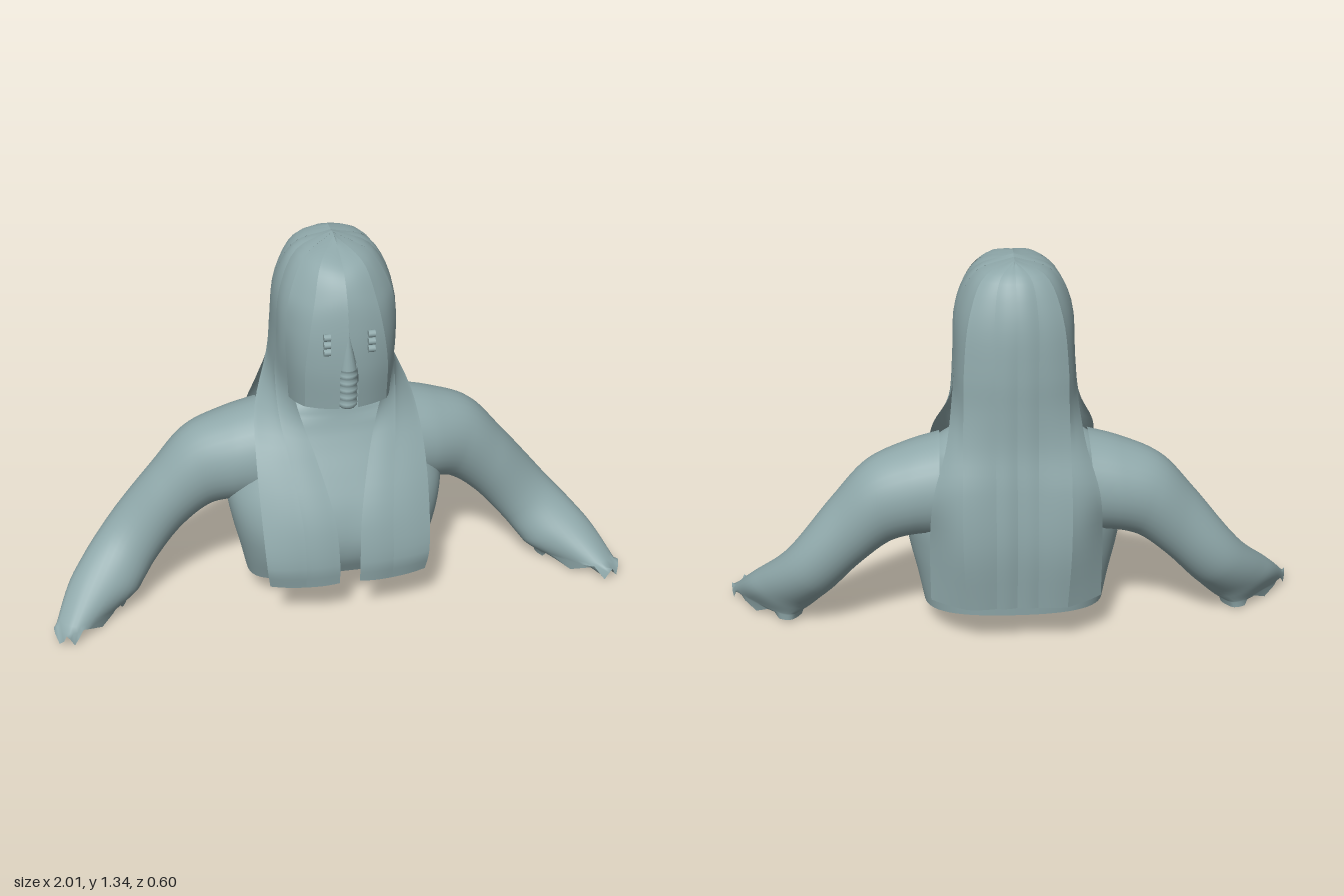
import * as THREE from 'three';

const V = (p) => new THREE.Vector3(...p);

// Surface through rows of points; closed joins the last column to the first
function loft(rows, closed) {
  const n = rows[0].length, pos = [], idx = [];
  rows.forEach((r) => r.forEach((p) => pos.push(p.x, p.y, p.z)));
  for (let i = 0; i < rows.length - 1; i++) {
    for (let j = 0; j < (closed ? n : n - 1); j++) {
      const k = (j + 1) % n, a = i * n + j, b = i * n + k, c = a + n, d = b + n;
      idx.push(a, c, b, b, c, d);
    }
  }
  const g = new THREE.BufferGeometry();
  g.setAttribute('position', new THREE.Float32BufferAttribute(pos, 3));
  g.setIndex(idx);
  g.computeVertexNormals();
  return g;
}

const spline = (pts) => new THREE.CatmullRomCurve3(pts.map(V), false, 'centripetal');
const power = (v, e) => Math.sign(v) * Math.abs(v) ** e;

// Torso levels: y, half width, front z, back z
const TORSO = [
  [0.13, 0.312, 0.21, -0.21], [0.22, 0.335, 0.243, -0.217], [0.32, 0.362, 0.25, -0.22],
  [0.42, 0.375, 0.225, -0.22], [0.52, 0.36, 0.175, -0.215], [0.6, 0.34, 0.13, -0.208],
  [0.66, 0.31, 0.1, -0.195], [0.72, 0.25, 0.08, -0.175], [0.77, 0.14, 0.072, -0.14],
  [0.85, 0.092, 0.07, -0.1], [0.95, 0.085, 0.07, -0.09],
];

function torsoGeometry() {
  const width = spline(TORSO.map((t) => [t[1], t[0], 0]));
  const depth = spline(TORSO.map((t) => [t[2], t[0], t[3]]));
  const rows = [];
  for (let i = 0; i <= 40; i++) {
    const w = width.getPoint(i / 40), d = depth.getPoint(i / 40), row = [];
    const mid = (d.x + d.z) / 2, half = (d.x - d.z) / 2;
    const e = w.y < 0.7 ? 0.88 : 1;
    const hem = Math.max(0, 1 - i / 8);
    for (let j = 0; j < 64; j++) {
      const a = j / 64 * Math.PI * 2, c = Math.cos(a), s = Math.sin(a);
      const x = w.x * power(c, e);
      let z = mid + half * power(s, e);
      // Bust swelling
      if (s > 0) z += 0.025 * s * Math.exp(-(((Math.abs(x) - 0.16) / 0.09) ** 2) - ((w.y - 0.3) / 0.12) ** 2);
      // Wavy open hem: low at the sides, raised in front
      const y = w.y + hem * (s > 0 ? -0.045 + 0.075 * s * s : -0.045 + 0.025 * s * s);
      row.push(new THREE.Vector3(x, y, z));
    }
    rows.push(row);
  }
  return loft(rows, true);
}

// Arm sections: centre and two half axes
const ARM = [
  [[0.26, 0.545, -0.045], [-0.01, 0.177, 0], [0, 0, 0.168]],
  [[0.35, 0.53, -0.05], [0.01, 0.162, 0], [0, 0, 0.157]],
  [[0.46, 0.49, -0.06], [0.04, 0.142, 0], [0, 0, 0.132]],
  [[0.57, 0.385, -0.06], [0.05, 0.115, 0], [0, 0, 0.112]],
  [[0.705, 0.225, -0.045], [0.075, 0.075, 0], [-0.02, 0, 0.1]],
  [[0.805, 0.115, 0.03], [0.1, 0.045, 0.045], [-0.05, 0, 0.08]],
  [[0.875, 0.03, 0.105], [0.116, 0, 0.115], [-0.035, 0, 0.05]],
];

function armRows(side) {
  const [C, A, B] = [0, 1, 2].map((k) => spline(ARM.map((r) => r[k])));
  const rows = [], N = 48, M = 32;
  for (let i = 0; i <= N; i++) {
    const u = i / N, c = C.getPoint(u), a = A.getPoint(u), b = B.getPoint(u), row = [];
    // Sections flatten into a blockier cuff near the wrist
    const e = 1 - 0.4 * Math.max(0, (u - 0.8) / 0.2);
    for (let j = 0; j < M; j++) {
      const t = j / M * Math.PI * 2;
      const p = c.clone().addScaledVector(a, power(Math.cos(t), e)).addScaledVector(b, power(Math.sin(t), e));
      // Ragged outer wrist edge, smooth on the inner side
      if (i === N) p.y = Math.cos(t) < -0.5 ? 0.014 : j % 4 < 2 ? 0.005 + 0.02 * (j % 2) : 0.05 - 0.015 * (j % 2);
      p.x *= side;
      row.push(p);
    }
    rows.push(side < 0 ? row.reverse() : row);
  }
  return rows;
}

// Hair guide curves for one half, from the parting to the tips
const bang0 = [[0, 1.345, 0.03], [0, 1.29, 0.17], [0, 1.22, 0.225], [0.001, 1.11, 0.255], [0.028, 0.98, 0.262], [0.03, 0.84, 0.255]];
const bang1 = [[0, 1.345, 0.01], [0.07, 1.3, 0.14], [0.1, 1.2, 0.2], [0.12, 1.1, 0.222], [0.135, 0.98, 0.222], [0.135, 0.835, 0.208]];
const bang2 = [[0, 1.345, -0.01], [0.11, 1.3, 0.07], [0.165, 1.2, 0.12], [0.18, 1.1, 0.13], [0.18, 0.98, 0.125], [0.17, 0.815, 0.1]];
const front0 = [[0, 1.345, -0.01], [0.11, 1.3, 0.07], [0.165, 1.18, 0.115], [0.18, 1, 0.115], [0.155, 0.83, 0.1],
  [0.125, 0.71, 0.11], [0.09, 0.6, 0.165], [0.045, 0.41, 0.265], [0.035, 0.25, 0.297], [0.035, 0.17, 0.29]];
const front1 = [[0, 1.345, -0.02], [0.12, 1.3, 0], [0.185, 1.18, 0.04], [0.198, 1, 0.04], [0.203, 0.87, 0.03],
  [0.2, 0.74, 0.075], [0.18, 0.6, 0.16], [0.155, 0.41, 0.262], [0.15, 0.25, 0.297], [0.15, 0.165, 0.285]];
const front2 = [[0, 1.34, -0.04], [0.12, 1.3, -0.05], [0.185, 1.18, -0.06], [0.198, 1, -0.09], [0.211, 0.89, -0.09],
  [0.27, 0.74, 0.01], [0.287, 0.6, 0.13], [0.287, 0.41, 0.23], [0.28, 0.25, 0.275], [0.27, 0.17, 0.262]];
const back0 = [[0, 1.34, -0.04], [0.12, 1.3, -0.05], [0.185, 1.18, -0.06], [0.198, 1, -0.09], [0.207, 0.89, -0.1],
  [0.23, 0.74, -0.19], [0.275, 0.58, -0.235], [0.29, 0.4, -0.2], [0.29, 0.17, -0.19]];
const back1 = [[0, 1.34, -0.06], [0.1, 1.3, -0.12], [0.15, 1.18, -0.17], [0.17, 1, -0.195], [0.173, 0.87, -0.205],
  [0.177, 0.74, -0.23], [0.18, 0.6, -0.275], [0.18, 0.4, -0.295], [0.17, 0.17, -0.27]];
const back2 = [[0, 1.34, -0.08], [0.05, 1.3, -0.15], [0.07, 1.18, -0.205], [0.07, 1, -0.232], [0.07, 0.87, -0.236],
  [0.07, 0.74, -0.245], [0.07, 0.6, -0.272], [0.07, 0.4, -0.29], [0.07, 0.17, -0.268]];
const back3 = [[0, 1.34, -0.08], [0, 1.3, -0.16], [0, 1.18, -0.22], [0, 1, -0.24], [0, 0.87, -0.242],
  [0, 0.74, -0.248], [0, 0.6, -0.27], [0, 0.4, -0.285], [0, 0.17, -0.265]];
const STRANDS = [
  ['InnerFringe', bang0, bang1], ['OuterFringe', bang1, bang2],
  ['InnerFrontLock', front0, front1], ['OuterFrontLock', front1, front2],
  ['SideBackLock', back0, back1], ['MiddleBackLock', back1, back2], ['CentreBackLock', back2, back3],
];

// Thin lock of hair between two guides, bulging slightly outward
function strandGeometry(a, b, side) {
  const ca = spline(a), cb = spline(b), rows = [];
  for (let i = 0; i <= 36; i++) {
    const p = ca.getPoint(i / 36), q = cb.getPoint(i / 36), row = [];
    for (let j = 0; j <= 6; j++) {
      const r = p.clone().lerp(q, j / 6);
      const out = new THREE.Vector3(r.x, 0, r.z);
      if (out.length() > 0.05) r.addScaledVector(out.normalize(), 0.005 * Math.sin(j / 6 * Math.PI));
      r.x *= side;
      row.push(r);
    }
    rows.push(row);
  }
  return loft(rows, false);
}

export function createModel() {
  const model = new THREE.Group();
  model.name = 'longHairedBust';
  const clay = new THREE.MeshStandardMaterial({ color: 0x8fa8aa, side: THREE.DoubleSide });
  clay.name = 'greyTeal';
  const add = (name, geometry) => {
    const m = new THREE.Mesh(geometry, clay);
    m.name = name;
    model.add(m);
    return m;
  };

  add('torso', torsoGeometry());
  const head = add('head', new THREE.SphereGeometry(1, 40, 28));
  head.scale.set(0.15, 0.25, 0.19);
  head.position.set(0, 1.06, 0.04);

  // Nose and ridged mouth column
  const nose = add('nose', new THREE.ConeGeometry(0.027, 0.15, 16));
  nose.position.set(0, 1.06, 0.245);
  const ridges = [[0, 0.835]];
  for (let i = 0; i < 6; i++) {
    const y = 0.84 + i * 0.026;
    ridges.push([0.026, y], [0.032, y + 0.008], [0.032, y + 0.018]);
  }
  ridges.push([0, 1.0]);
  const mouth = add('mouth', new THREE.LatheGeometry(ridges.map((p) => new THREE.Vector2(...p)), 20));
  mouth.position.z = 0.234;

  for (const side of [1, -1]) {
    const prefix = side > 0 ? 'left' : 'right';
    const rows = armRows(side);
    add(prefix + 'Arm', loft(rows, true));
    // Flat end closing the wrist just inside the ragged edge
    const centre = new THREE.Vector3(side * 0.872, 0.045, 0.1);
    const rim = rows[rows.length - 2].map((p) => p.clone().lerp(centre, 0.04));
    add(prefix + 'WristEnd', loft([rim, rim.map(() => centre)], true));
    // Each eye is a stack of three small rollers
    for (const y of [1.057, 1.083, 1.11]) {
      const roller = add(prefix + 'EyeRoller', new THREE.CylinderGeometry(0.012, 0.012, 0.022, 12));
      roller.rotation.z = Math.PI / 2;
      roller.position.set(side * 0.072, y, 0.261);
    }
    for (const [name, a, b] of STRANDS) add(prefix + name, strandGeometry(a, b, side));
  }
  return model;
}
